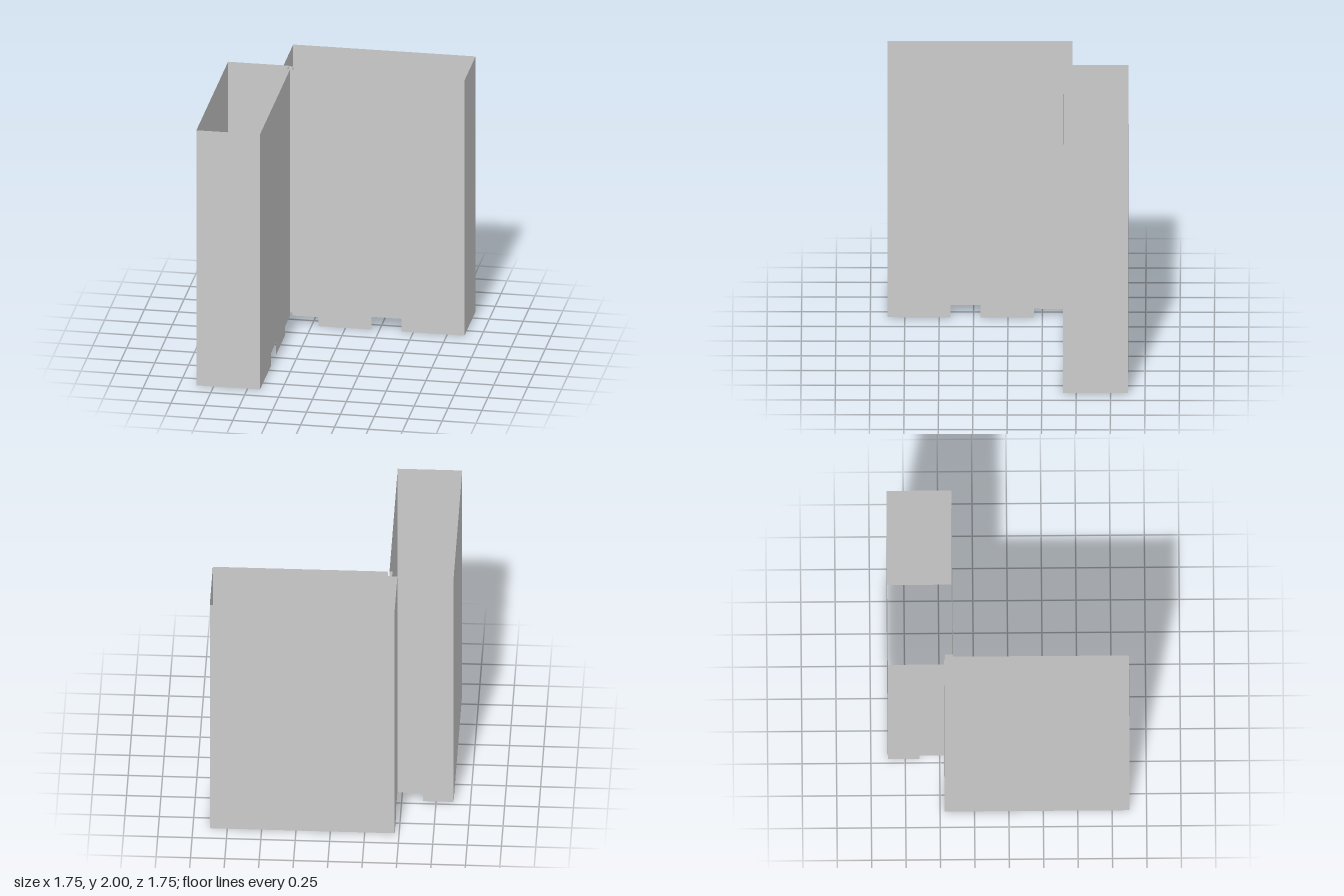
import * as THREE from 'three';

const HEIGHT = 2;
const material = new THREE.MeshStandardMaterial({ color: 0xcccccc, flatShading: true, side: THREE.DoubleSide });

// Upright sheet from a to b (each [x, z]); notches are [start, end, height] along its foot
function wall(name, a, b, notches = []) {
  const length = Math.hypot(b[0] - a[0], b[1] - a[1]);
  const outline = [];
  let last = 0;
  if (!notches.length || notches[0][0] > 0) outline.push([0, 0]);
  for (const [start, end, h] of notches) {
    if (start > 0) outline.push([start, 0]);
    outline.push([start, h], [end, h]);
    if (end < length) outline.push([end, 0]);
    last = end;
  }
  if (last < length) outline.push([length, 0]);
  outline.push([length, HEIGHT], [0, HEIGHT]);

  const shape = new THREE.Shape(outline.map(([x, y]) => new THREE.Vector2(x, y)));
  const mesh = new THREE.Mesh(new THREE.ShapeGeometry(shape), material);
  mesh.name = name;
  mesh.position.set(a[0], 0, a[1]);
  mesh.rotation.y = -Math.atan2(b[1] - a[1], b[0] - a[0]);
  return mesh;
}

// Chain of narrow sheets, all raised to the corner notch height
function lip(name, points) {
  const group = new THREE.Group();
  group.name = name;
  for (let i = 1; i < points.length; i++) {
    const [a, b] = [points[i - 1], points[i]];
    const length = Math.hypot(b[0] - a[0], b[1] - a[1]);
    group.add(wall('lipSheet', a, b, [[0, length, 0.07]]));
  }
  return group;
}

export function createModel() {
  const model = new THREE.Group();
  model.name = 'cornerCasing';
  const E = 0.877; // outer extent
  const J = -0.468; // where the two casings touch

  // Casing running front to back
  const sideCasing = new THREE.Group();
  sideCasing.name = 'sideCasing';
  const ax = -0.408, az = -0.403;
  sideCasing.add(
    wall('outerWall', [-E, J], [-E, E]),
    wall('frontEnd', [-E, E], [ax, E]),
    wall('innerWall', [ax, E], [ax, az], [[E - 0.418, E - 0.198, 0.1], [E + 0.188, E - az, 0.07]]),
    wall('backEnd', [-E, J], [J, J], [[E - 0.655, E + J, 0.07]]),
    lip('cornerLip', [[ax, az], [-0.43, az], [-0.43, J], [J, J]]),
  );

  // Casing running left to right along the back
  const backCasing = new THREE.Group();
  backCasing.name = 'backCasing';
  const bx = -0.392, bz = -0.403;
  backCasing.add(
    wall('outerWall', [J, -E], [E, -E]),
    wall('sideEnd', [E, -E], [E, bz]),
    wall('innerWall', [bx, bz], [E, bz], [[0, -0.198 - bx, 0.07], [0.192 - bx, 0.412 - bx, 0.1]]),
    wall('cornerEnd', [J, -E], [J, J], [[E - 0.645, E + J, 0.07]]),
    lip('cornerLip', [[bx, bz], [bx, -0.46], [J, -0.46]]),
  );

  model.add(sideCasing, backCasing);
  return model;
}
